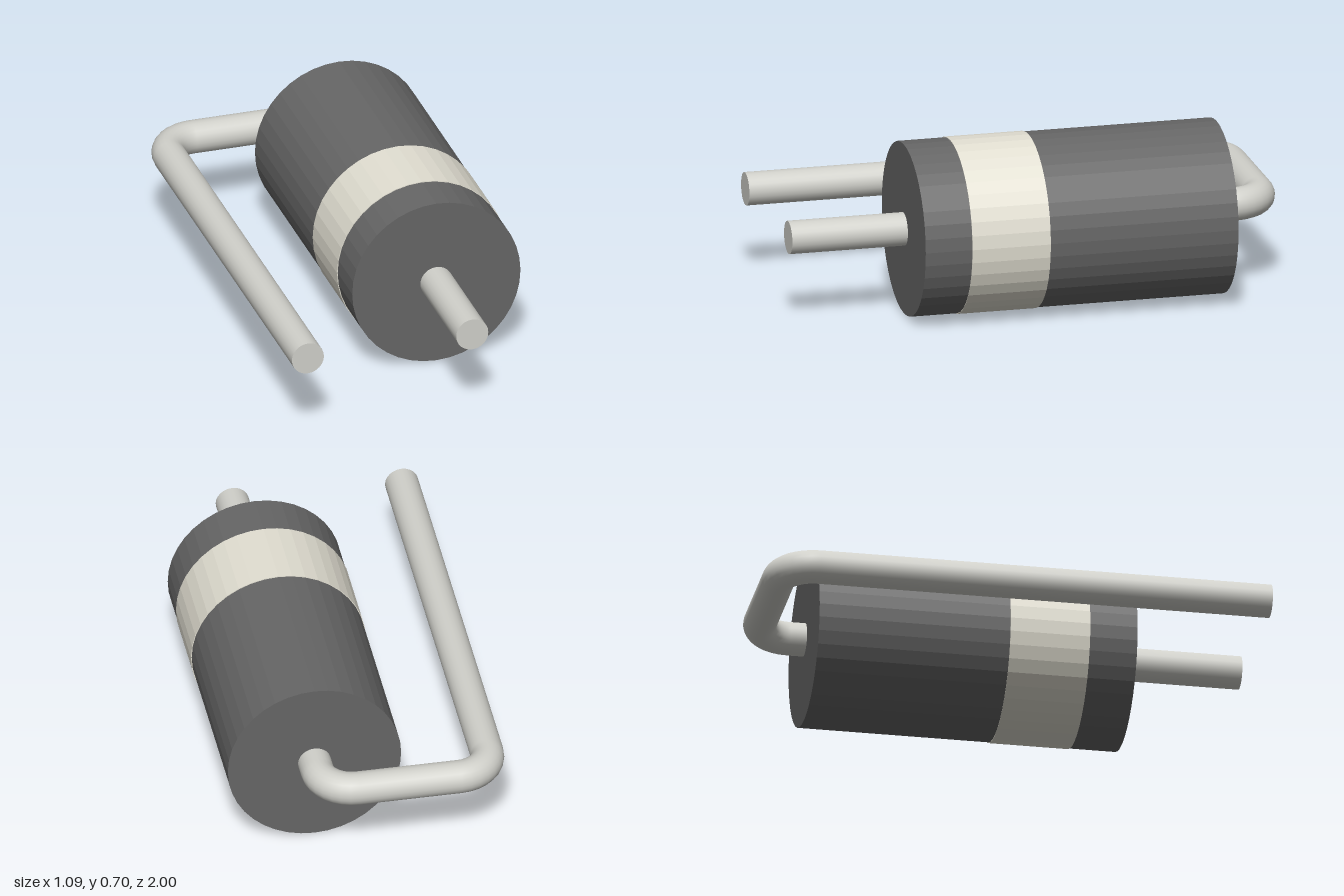
import * as THREE from 'three';

const BODY_X = 0.196, RETURN_X = -0.48, AXIS_Y = 0.349;
const LEAD_R = 0.066, BEND_R = 0.135, BEND_Z = -0.799;

export function createModel() {
  const model = new THREE.Group();
  const darkMat = new THREE.MeshStandardMaterial({ color: 0x666666, flatShading: true });
  const bandMat = new THREE.MeshStandardMaterial({ color: 0xe2dfd2, flatShading: true });
  const leadMat = new THREE.MeshStandardMaterial({ color: 0xd0d0ca });

  const add = (name, geometry, material) => {
    const mesh = new THREE.Mesh(geometry, material);
    mesh.name = name;
    model.add(mesh);
  };

  // Cylinder along z between two depths
  const rodZ = (name, x, z0, z1, r, sides, material, open = false) => {
    const g = new THREE.CylinderGeometry(r, r, z1 - z0, sides, 1, open);
    g.rotateX(Math.PI / 2).translate(x, AXIS_Y, (z0 + z1) / 2);
    add(name, g, material);
  };

  // Cylindrical body and its slightly raised polarity band
  rodZ('body', BODY_X, -0.735, 0.532, 0.346, 40, darkMat);
  rodZ('polarityBand', BODY_X, 0.026, 0.343, 0.349, 40, bandMat);

  // Straight wire leads
  rodZ('frontLead', BODY_X, 0.5, 1, LEAD_R, 24, leadMat);
  rodZ('rearLead', BODY_X, BEND_Z, -0.7, LEAD_R, 24, leadMat, true);
  rodZ('returnLead', RETURN_X, BEND_Z, 1, LEAD_R, 24, leadMat);

  // Two quarter bends behind the body
  const bend = (name, x, turn) => {
    const g = new THREE.TorusGeometry(BEND_R, LEAD_R, 24, 8, Math.PI / 2);
    g.rotateZ(turn).rotateX(-Math.PI / 2).translate(x, AXIS_Y, BEND_Z);
    add(name, g, leadMat);
  };
  const x0 = RETURN_X + BEND_R, x1 = BODY_X - BEND_R;
  bend('rearBend', x1, 0);
  bend('returnBend', x0, Math.PI / 2);

  // Cross wire joining the bends
  const cross = new THREE.CylinderGeometry(LEAD_R, LEAD_R, x1 - x0, 24, 1, true);
  cross.rotateZ(Math.PI / 2).translate((x0 + x1) / 2, AXIS_Y, BEND_Z - BEND_R);
  add('crossLead', cross, leadMat);

  return model;
}
